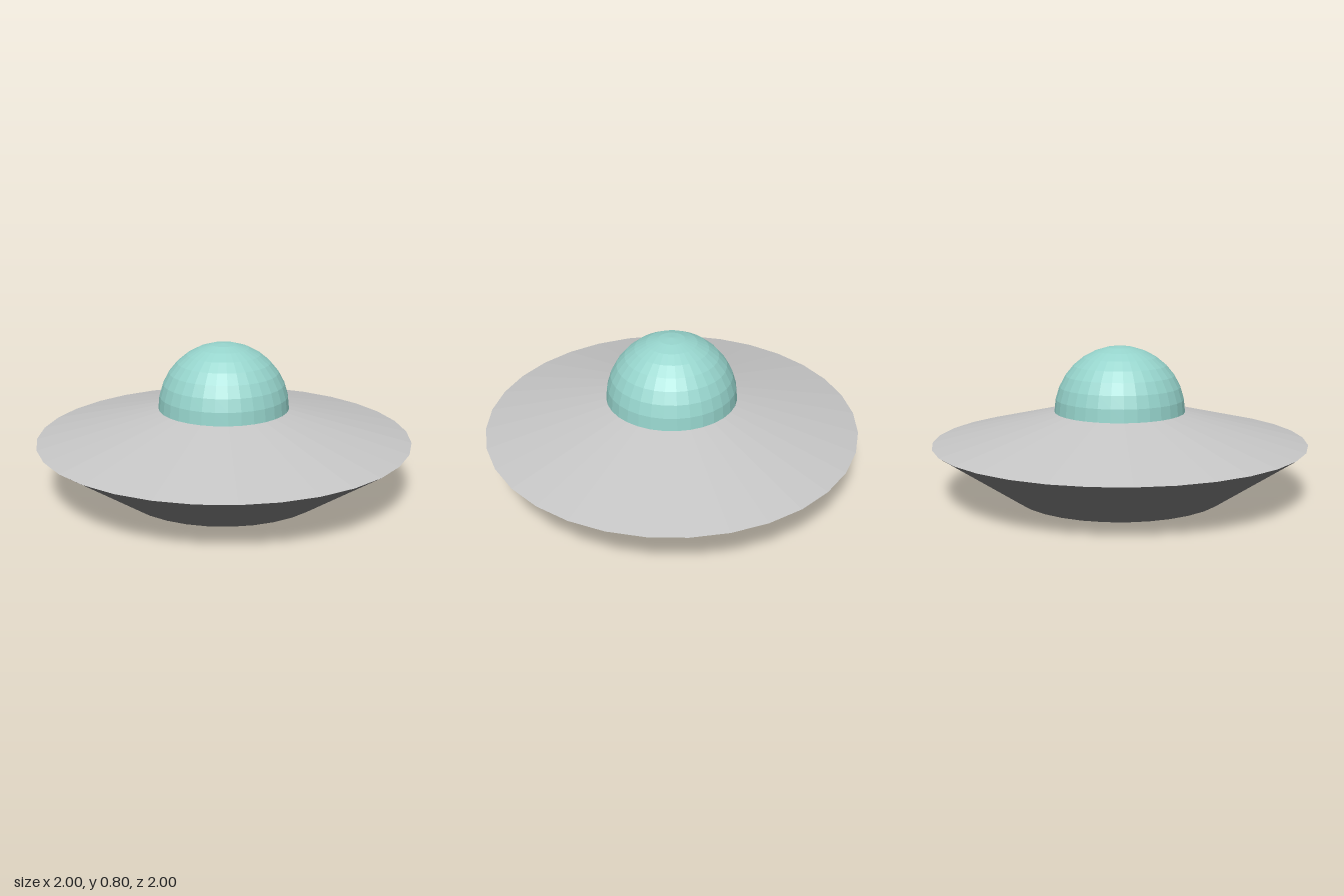
import * as THREE from 'three';

const SIDES = 32;
const BASE_RADIUS = 0.57, RIM_RADIUS = 1, DECK_RADIUS = 0.35;
const RIM_HEIGHT = 0.29, DECK_HEIGHT = 0.45;

function flatMaterial(name, color) {
  const material = new THREE.MeshStandardMaterial({ color, flatShading: true });
  material.name = name;
  return material;
}

export function createModel() {
  const model = new THREE.Group();
  model.name = 'flyingSaucer';

  const lightGrey = flatMaterial('lightGrey', 0xc6c6c6);
  const darkGrey = flatMaterial('darkGrey', 0x828282);
  const paleTeal = flatMaterial('paleTeal', 0x96d4cc);

  function addPart(name, geometry, material, y) {
    const mesh = new THREE.Mesh(geometry, material);
    mesh.name = name;
    mesh.position.y = y;
    model.add(mesh);
  }

  // Open conical shell between two radii, standing on bottomY
  function addShell(name, topRadius, bottomRadius, bottomY, topY, material) {
    const geometry = new THREE.CylinderGeometry(
      topRadius, bottomRadius, topY - bottomY, SIDES, 1, true);
    addPart(name, geometry, material, (bottomY + topY) / 2);
  }

  // Underside: flaring hull closed by a flat floor
  addShell('lowerHull', RIM_RADIUS, BASE_RADIUS, 0, RIM_HEIGHT, darkGrey);
  const floor = new THREE.CircleGeometry(BASE_RADIUS, SIDES).rotateX(Math.PI / 2);
  addPart('hullFloor', floor, darkGrey, 0);

  // Upper side: shallow sloping deck
  addShell('upperHull', DECK_RADIUS, RIM_RADIUS, RIM_HEIGHT, DECK_HEIGHT, lightGrey);

  // Half-sphere cockpit canopy
  const dome = new THREE.SphereGeometry(DECK_RADIUS, SIDES, 8, 0, Math.PI * 2, 0, Math.PI / 2);
  addPart('cockpitDome', dome, paleTeal, DECK_HEIGHT);

  return model;
}
